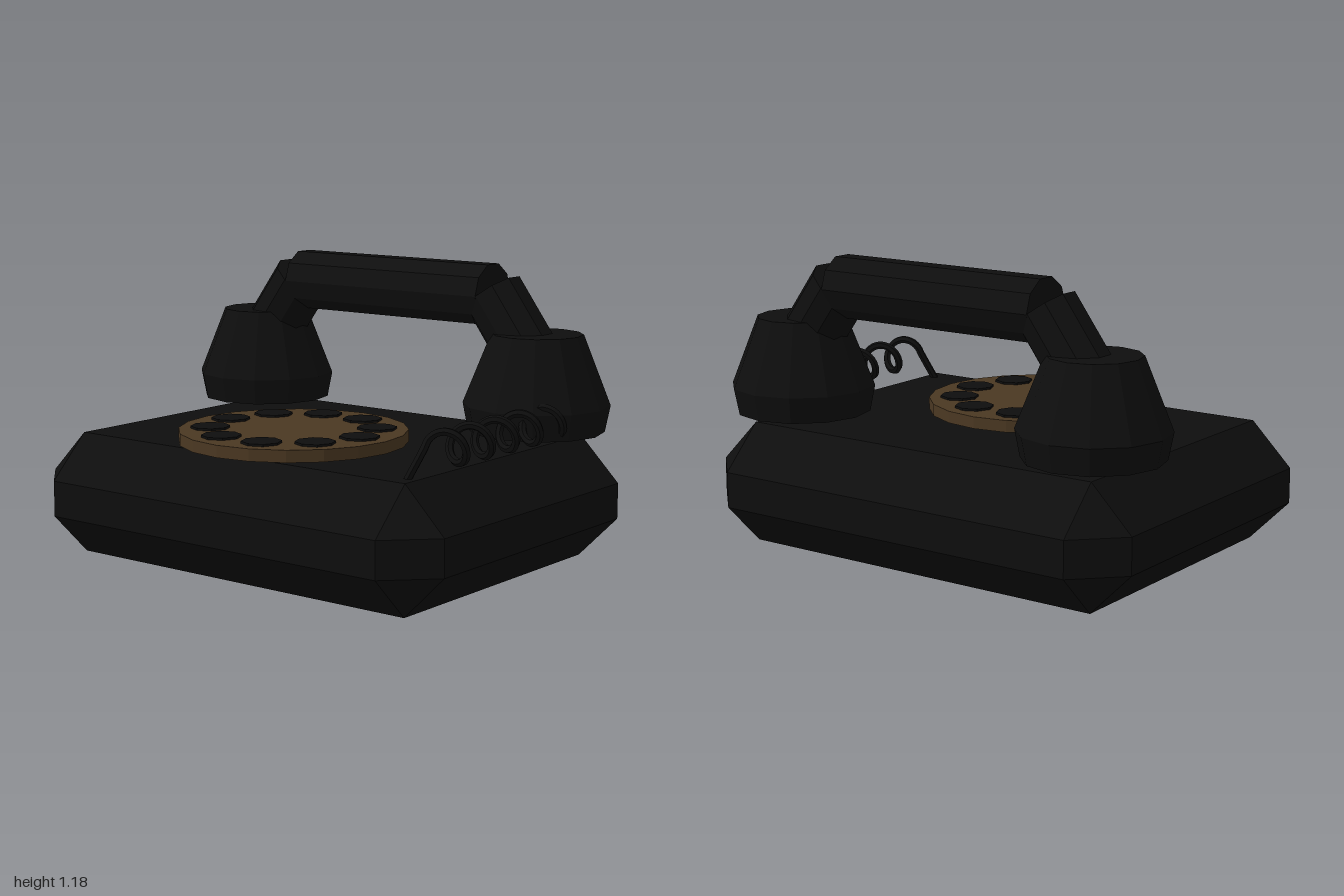
import * as THREE from 'three';
import { ConvexGeometry } from 'three/addons/geometries/ConvexGeometry.js';

export function createModel() {
  const model = new THREE.Group();
  model.name = 'rotaryTelephone';

  const black = new THREE.MeshStandardMaterial({ color: 0x0e0e0e, flatShading: true });
  black.name = 'black';
  const brass = new THREE.MeshStandardMaterial({ color: 0x4b3822, flatShading: true });
  brass.name = 'brass';

  const add = (parent, name, geometry, material, x = 0, y = 0, z = 0) => {
    const mesh = new THREE.Mesh(geometry, material);
    mesh.name = name;
    mesh.position.set(x, y, z);
    parent.add(mesh);
    return mesh;
  };

  // Body: a box with every edge and corner bevelled
  const half = [0.985, 0.2475, 0.775];
  const bevel = 0.175;
  const corners = [];
  for (const sx of [-1, 1]) for (const sy of [-1, 1]) for (const sz of [-1, 1]) {
    for (let face = 0; face < 3; face++) {
      const [x, y, z] = half.map((h, axis) => (axis === face ? h : h - bevel));
      corners.push(new THREE.Vector3(x * sx, y * sy, z * sz));
    }
  }
  add(model, 'body', new ConvexGeometry(corners), black, 0, half[1], 0);

  // Dial with ten finger holes
  const dial = new THREE.Group();
  dial.name = 'dial';
  dial.position.set(0, 0, 0.243);
  model.add(dial);
  add(dial, 'dialPlate', new THREE.CylinderGeometry(0.456, 0.456, 0.048, 20), brass, 0, 0.528, 0);
  const holeGeometry = new THREE.CylinderGeometry(0.079, 0.079, 0.009, 8);
  for (let i = 0; i < 10; i++) {
    const a = (i / 10) * Math.PI * 2;
    add(dial, 'fingerHole', holeGeometry, black, 0.33 * Math.cos(a), 0.5565, 0.33 * Math.sin(a));
  }

  // Handset: grip, two slanted necks and two cups
  const handset = new THREE.Group();
  handset.name = 'handset';
  handset.position.z = -0.423;
  model.add(handset);

  const barRadius = 0.127;
  const grip = add(handset, 'grip', new THREE.CylinderGeometry(barRadius, barRadius, 0.98, 10), black, 0, 1.06, 0);
  grip.rotation.z = Math.PI / 2;

  const cupProfile = [[0, 0.53], [0.273, 0.53], [0.294, 0.637], [0.183, 0.918], [0, 0.918]]
    .map(([r, y]) => new THREE.Vector2(r, y));
  const cupGeometry = new THREE.LatheGeometry(cupProfile, 12);
  const neckLength = 0.36;
  const neckGeometry = new THREE.CylinderGeometry(barRadius, barRadius, neckLength, 10);
  const slant = 0.635;
  for (const side of [-1, 1]) {
    const label = side > 0 ? 'left' : 'right';
    add(handset, label + 'Cup', cupGeometry, black, side * 0.705, 0, 0);
    const neck = add(handset, label + 'Neck', neckGeometry, black,
      side * (0.493 + Math.sin(slant) * neckLength / 2),
      1.064 - Math.cos(slant) * neckLength / 2, 0);
    neck.rotation.z = side * slant;
  }

  // Coiled cord from the body to the left cup
  const cordPoints = [new THREE.Vector3(0.765, 0.49, 0.525)];
  const pitch = 0.163;
  for (let i = 0; i <= 58; i++) {
    const t = -0.25 + i / 12;
    const a = t * Math.PI * 2;
    cordPoints.push(new THREE.Vector3(
      0.87 + 0.063 * Math.sin(a), 0.604 + 0.063 * Math.cos(a), 0.44 - t * pitch));
  }
  const cordCurve = new THREE.CatmullRomCurve3(cordPoints);
  add(model, 'cord', new THREE.TubeGeometry(cordCurve, 160, 0.016, 6), black);

  return model;
}
